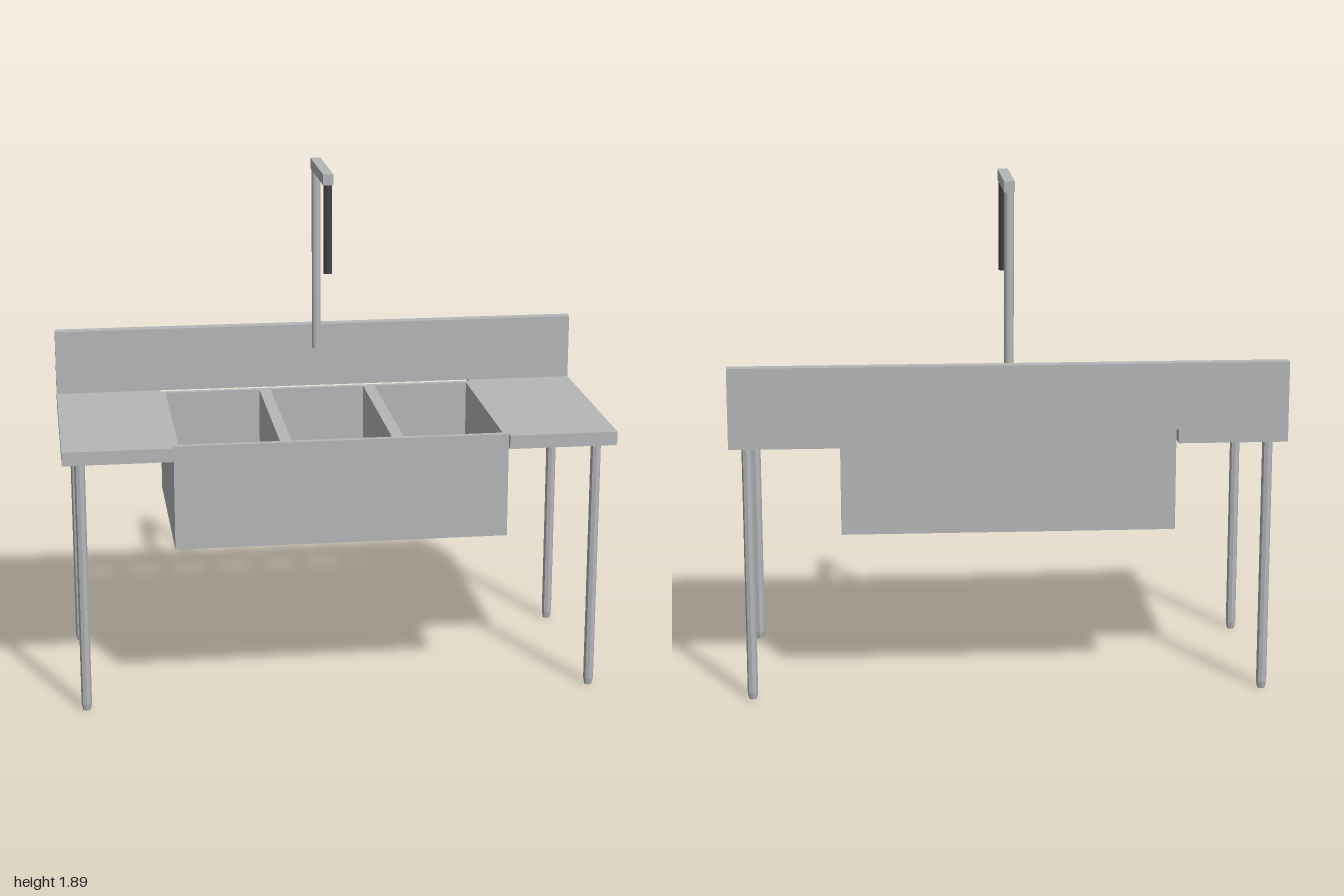
import * as THREE from 'three';

export function createModel() {
  const model = new THREE.Group();
  const steel = new THREE.MeshStandardMaterial({ color: 0xb4b6b9 });
  steel.name = 'brushed steel';
  const legSteel = new THREE.MeshStandardMaterial({ color: 0xb4b6b9, flatShading: true });
  legSteel.name = 'faceted steel';
  const rubber = new THREE.MeshStandardMaterial({ color: 0x404046 });
  rubber.name = 'dark hose';

  const add = (name, geometry, material, x = 0, y = 0, z = 0, parent = model) => {
    const mesh = new THREE.Mesh(geometry, material);
    mesh.name = name;
    mesh.position.set(x, y, z);
    parent.add(mesh);
    return mesh;
  };
  // Box given by its limits on each axis
  const addBox = (name, [x0, x1], [y0, y1], [z0, z1], parent = model) =>
    add(name, new THREE.BoxGeometry(x1 - x0, y1 - y0, z1 - z0), steel,
      (x0 + x1) / 2, (y0 + y1) / 2, (z0 + z1) / 2, parent);
  const rectangle = (Type, x0, x1, y0, y1) =>
    new Type([[x0, y0], [x1, y0], [x1, y1], [x0, y1]].map(p => new THREE.Vector2(...p)));

  // Drainboards either side of the basin
  addBox('rightDrainboard', [-1, -0.605], [0.95, 1], [-0.372, 0.415]);
  addBox('leftDrainboard', [0.605, 1], [0.95, 1], [-0.372, 0.415]);

  // Backsplash, notched along the bottom behind the basin
  const splash = new THREE.Shape([
    [-1, 0.95], [-0.605, 0.95], [-0.605, 1], [0.605, 1],
    [0.605, 0.95], [1, 0.95], [1, 1.243], [-1, 1.243],
  ].map(p => new THREE.Vector2(...p)));
  add('backsplash', new THREE.ExtrudeGeometry(splash, { depth: 0.043, bevelEnabled: false }),
    steel, 0, 0, -0.415);

  // Three-compartment basin: walls with open wells, closed by a floor
  const basin = new THREE.Group();
  basin.name = 'basin';
  model.add(basin);
  const walls = rectangle(THREE.Shape, -0.605, 0.605, -0.392, 0.355);
  for (const x of [-0.405, 0, 0.405])
    walls.holes.push(rectangle(THREE.Path, x - 0.181, x + 0.181, -0.37, 0.333));
  const wallGeometry = new THREE.ExtrudeGeometry(walls, { depth: 0.365, bevelEnabled: false });
  wallGeometry.rotateX(-Math.PI / 2);
  add('basinWalls', wallGeometry, steel, 0, 0.635, 0, basin);
  addBox('basinFloor', [-0.605, 0.605], [0.615, 0.635], [-0.355, 0.392], basin);

  // Legs with short tapered feet
  for (const x of [-0.937, 0.937]) {
    for (const z of [-0.352, 0.352]) {
      const leg = new THREE.Group();
      leg.name = 'leg';
      leg.position.set(x, 0, z);
      model.add(leg);
      add('legPost', new THREE.CylinderGeometry(0.019, 0.019, 0.925, 8), legSteel, 0, 0.4875, 0, leg);
      add('legFoot', new THREE.CylinderGeometry(0.019, 0.014, 0.025, 8), legSteel, 0, 0.0125, 0, leg);
    }
  }

  // Tall faucet: riser, overhead arm and hanging spray hose
  const faucet = new THREE.Group();
  faucet.name = 'faucet';
  model.add(faucet);
  add('faucetRiser', new THREE.CylinderGeometry(0.017, 0.017, 0.695, 16), steel, 0, 1.5025, -0.35, faucet);
  addBox('faucetArm', [-0.019, 0.019], [1.85, 1.89], [-0.372, 0], faucet);
  add('sprayHose', new THREE.CylinderGeometry(0.016, 0.016, 0.33, 16), rubber, 0, 1.685, -0.018, faucet);

  return model;
}
